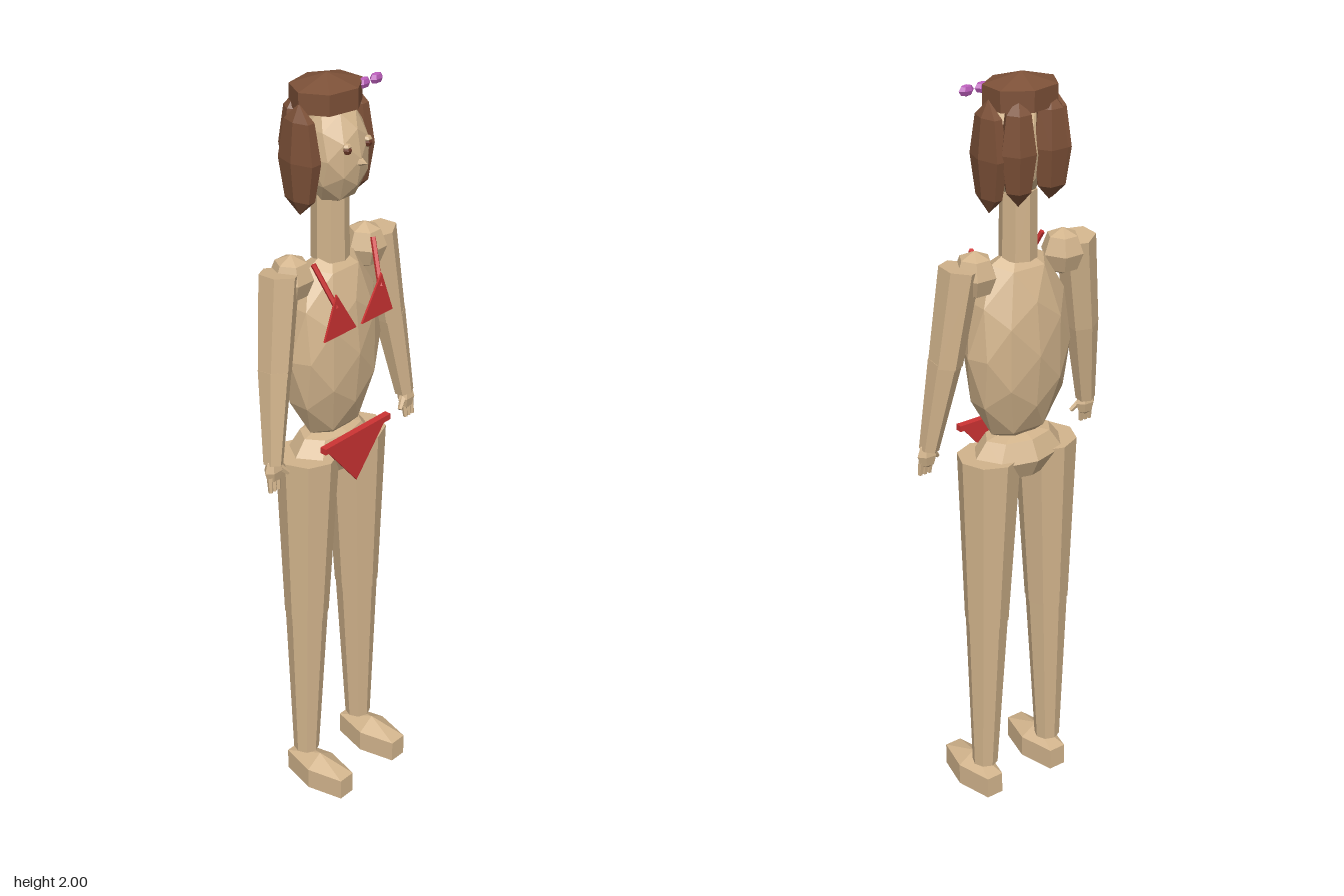
import * as THREE from 'three';

const mat = (name, color, extra = {}) => {
  const m = new THREE.MeshStandardMaterial({ color, flatShading: true, ...extra });
  m.name = name;
  return m;
};

export function createModel() {
  const skin = mat('skin', 0xd2b48c);
  const hair = mat('hair', 0x7d5138);
  const red = mat('red cloth', 0xcc3333, { side: THREE.DoubleSide });
  const purple = mat('purple bow', 0xb85cb8);
  const brown = mat('eye brown', 0x6e3a28);

  const model = new THREE.Group();
  model.name = 'figure';

  const add = (name, geo, material, pos = [0, 0, 0]) => {
    const mesh = new THREE.Mesh(geo, material);
    mesh.name = name;
    mesh.position.set(...pos);
    model.add(mesh);
    return mesh;
  };
  // faceted ellipsoids: few rings, or a subdivided icosahedron
  const blob = (name, material, pos, r, sides = 6, rings = 3) =>
    add(name, new THREE.SphereGeometry(1, sides, rings).scale(...r), material, pos);
  const ico = (name, material, pos, r, detail = 1) =>
    add(name, new THREE.IcosahedronGeometry(1, detail).scale(...r), material, pos);
  // tapered limb from point a to point b
  const limb = (name, material, a, b, ra, rb, sides = 8) => {
    const from = new THREE.Vector3(...a), to = new THREE.Vector3(...b);
    const axis = from.clone().sub(to);
    const mesh = add(name, new THREE.CylinderGeometry(ra, rb, axis.length(), sides), material);
    mesh.position.copy(from).add(to).multiplyScalar(0.5);
    mesh.quaternion.setFromUnitVectors(new THREE.Vector3(0, 1, 0), axis.normalize());
    return mesh;
  };
  // thin triangular cloth panel
  const panel = (name, pts, z) => {
    const shape = new THREE.Shape(pts.map(p => new THREE.Vector2(...p)));
    return add(name, new THREE.ExtrudeGeometry(shape, { depth: 0.005, bevelEnabled: false }), red, [0, 0, z]);
  };

  // body core
  ico('torso', skin, [0, 1.32, -0.022], [0.148, 0.262, 0.094]);
  blob('pelvis', skin, [0, 1.035, -0.025], [0.135, 0.07, 0.085], 8, 4);
  limb('neck', skin, [0, 1.72, -0.025], [0, 1.55, -0.025], 0.045, 0.047);

  // head and face
  ico('head', skin, [0, 1.82, -0.012], [0.083, 0.13, 0.084]);
  const nose = add('nose', new THREE.ConeGeometry(0.017, 0.035, 5), skin, [0, 1.812, 0.073]);
  nose.rotation.x = Math.PI / 2;

  // hair cap
  blob('hairCap', hair, [0, 1.95, -0.035], [0.108, 0.05, 0.093], 7, 3);

  for (const s of [1, -1]) {
    const side = s > 0 ? 'left' : 'right';

    // eyes with lids
    blob(side + 'Eye', brown, [s * 0.035, 1.848, 0.06], [0.011, 0.012, 0.011], 6, 4);
    blob(side + 'Eyelid', skin, [s * 0.035, 1.856, 0.059], [0.012, 0.008, 0.011], 6, 4);

    // hair locks
    blob(side + 'SideLock', hair, [s * 0.092, 1.815, -0.035], [0.03, 0.135, 0.062], 6, 4);
    blob(side + 'BackLock', hair, [s * 0.045, 1.83, -0.085], [0.047, 0.13, 0.045], 6, 4);

    // bow loops
    blob(side + 'BowLoop', purple, [0.098 + s * 0.022, 1.965, 0.01], [0.021, 0.014, 0.012], 6, 4);

    // arms
    blob(side + 'Shoulder', skin, [s * 0.13, 1.535, -0.03], [0.054, 0.06, 0.056], 6, 4);
    limb(side + 'UpperArm', skin, [s * 0.172, 1.562, -0.028], [s * 0.207, 1.32, -0.014], 0.05, 0.042, 6);
    limb(side + 'Forearm', skin, [s * 0.207, 1.33, -0.014], [s * 0.243, 1.095, 0.01], 0.042, 0.025, 6);
    blob(side + 'Palm', skin, [s * 0.246, 1.08, 0.013], [0.029, 0.036, 0.019], 6, 4);
    for (let i = 0; i < 3; i++) {
      const x = s * (0.236 + i * 0.013);
      limb(side + 'Finger' + (i + 1), skin, [x, 1.065, 0.016], [x + s * 0.002, 1.026, 0.02], 0.008, 0.006, 5);
    }
    limb(side + 'Thumb', skin, [s * 0.232, 1.085, 0.016], [s * 0.208, 1.06, 0.026], 0.009, 0.006, 5);

    // legs
    limb(side + 'Thigh', skin, [s * 0.088, 1.043, -0.023], [s * 0.097, 0.57, -0.022], 0.08, 0.057);
    limb(side + 'Shin', skin, [s * 0.097, 0.57, -0.022], [s * 0.105, 0.12, -0.021], 0.055, 0.034);
    blob(side + 'Foot', skin, [s * 0.106, 0.062, 0.03], [0.055, 0.06, 0.13]);

    // swimsuit top: cup and strap
    panel(side + 'Cup', [[s * 0.122, 1.395], [s * 0.01, 1.395], [s * 0.08, 1.505]], 0.064);
    limb(side + 'Strap', red, [s * 0.105, 1.575, 0.018], [s * 0.078, 1.47, 0.066], 0.007, 0.007, 5);
  }

  // swimsuit bottom
  add('waistband', new THREE.BoxGeometry(0.24, 0.016, 0.018), red, [0, 1.094, 0.06]);
  panel('swimsuitFront', [[-0.11, 1.09], [0, 0.96], [0.11, 1.09]], 0.058);

  return model;
}
